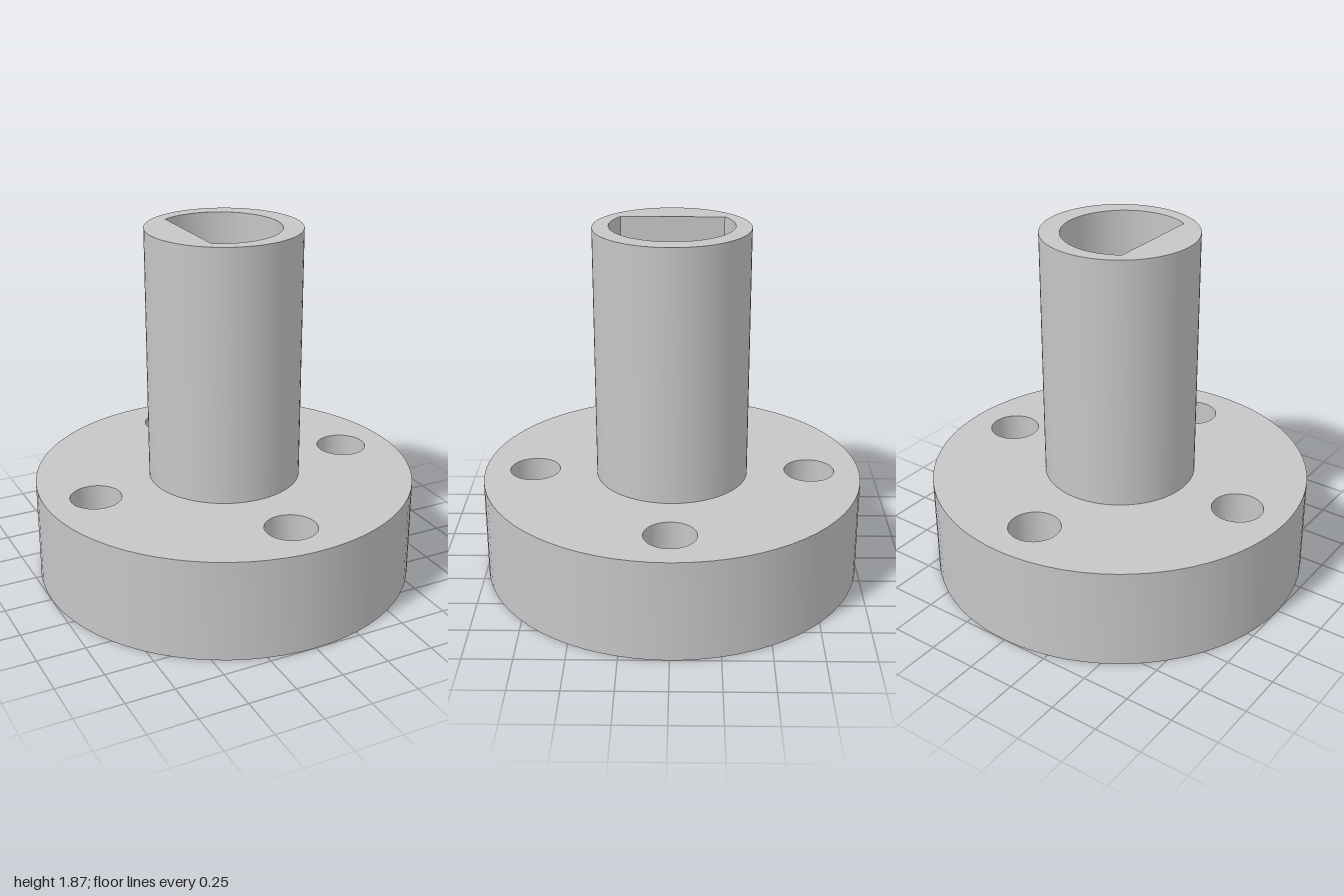
import * as THREE from 'three';
import { toCreasedNormals } from 'three/addons/utils/BufferGeometryUtils.js';

const FLANGE_R = 1, FLANGE_H = 0.533;
const SHAFT_R = 0.4, SHAFT_H = 1.333;
const BOLT_R = 0.133, BOLT_CIRCLE = 0.733;
const BORE_R = 0.318, BORE_X = -0.027, BORE_FLAT_X = -0.2;

function disc(radius) {
  return new THREE.Shape().absarc(0, 0, radius, 0, Math.PI * 2, false);
}

// Extrudes a plan outline upward, with smooth walls and sharp rims
function extrudeUp(name, shape, height, y, material) {
  const flat = new THREE.ExtrudeGeometry(shape, { depth: height, bevelEnabled: false, curveSegments: 36 });
  flat.rotateX(-Math.PI / 2);
  const mesh = new THREE.Mesh(toCreasedNormals(flat, Math.PI / 6), material);
  mesh.name = name;
  mesh.position.y = y;
  return mesh;
}

export function createModel() {
  const group = new THREE.Group();
  group.name = 'flangedShaftCoupling';
  const metal = new THREE.MeshStandardMaterial({ color: 0xc6c6c6 });
  metal.name = 'light grey';

  // Round flange with four through bolt holes
  const flange = disc(FLANGE_R);
  for (let i = 0; i < 4; i++) {
    const a = i * Math.PI / 2;
    flange.holes.push(new THREE.Path().absarc(
      BOLT_CIRCLE * Math.cos(a), BOLT_CIRCLE * Math.sin(a), BOLT_R, 0, Math.PI * 2, true));
  }
  group.add(extrudeUp('flange', flange, FLANGE_H, 0, metal));

  // Hollow shaft with a D-shaped bore, closed below by the flange
  const shaft = disc(SHAFT_R);
  const flatAngle = Math.acos((BORE_FLAT_X - BORE_X) / BORE_R);
  const bore = new THREE.Path().absarc(BORE_X, 0, BORE_R, flatAngle, -flatAngle, true);
  bore.closePath();
  shaft.holes.push(bore);
  group.add(extrudeUp('shaft', shaft, SHAFT_H, FLANGE_H, metal));

  return group;
}
